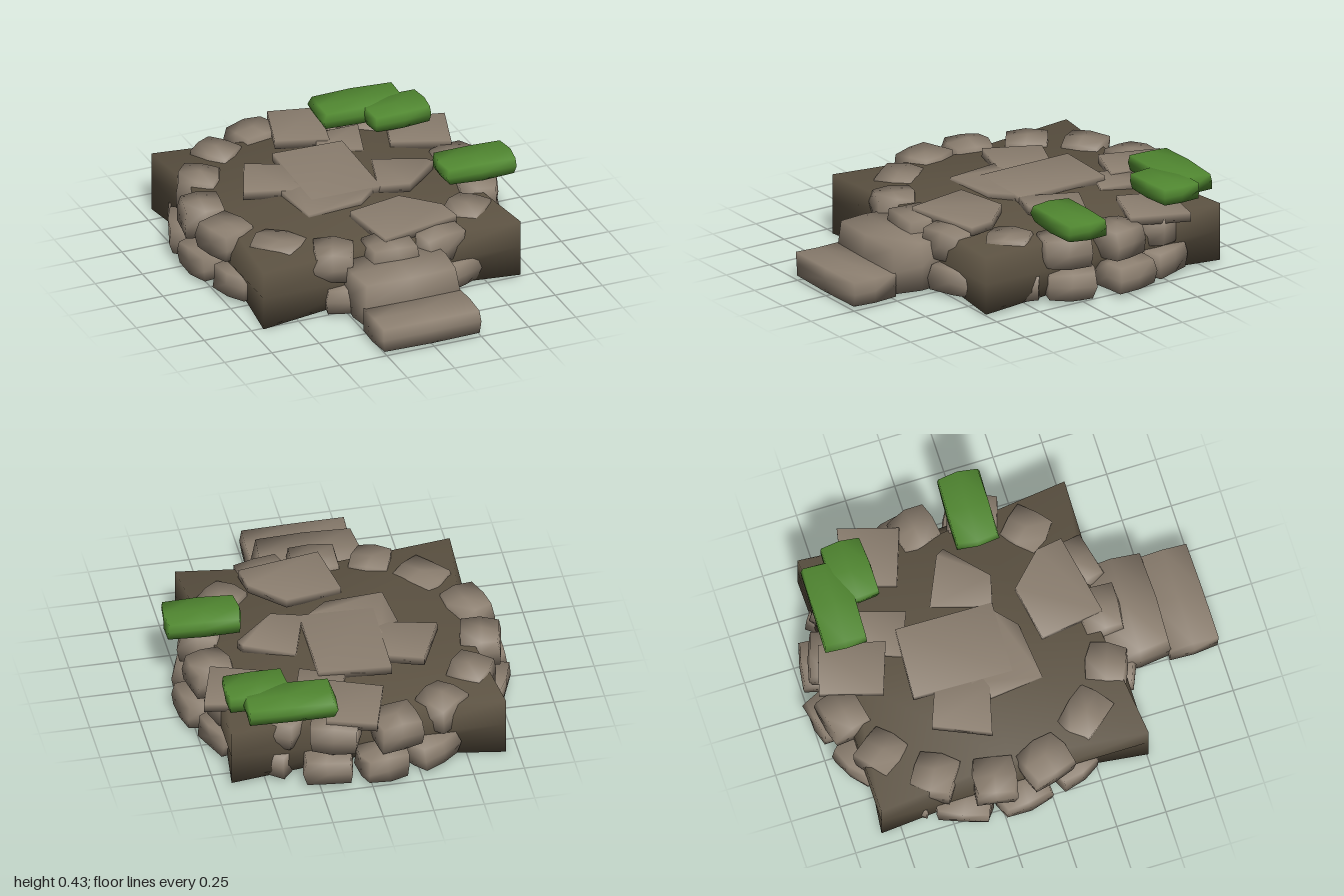
import * as THREE from 'three';
import { mergeVertices } from 'three/addons/utils/BufferGeometryUtils.js';

const material = (name, color) => {
  const m = new THREE.MeshStandardMaterial({ color });
  m.name = name;
  return m;
};

// Seeded random numbers in -1..1
function seeded(seed) {
  return () => {
    seed = (seed * 16807) % 2147483647;
    return (seed / 2147483647) * 2 - 1;
  };
}

// Weld all corners so the shading runs softly over the edges
function smooth(geometry) {
  geometry.deleteAttribute('normal');
  geometry.deleteAttribute('uv');
  const g = mergeVertices(geometry);
  g.computeVertexNormals();
  return g;
}

// Rough block: edges drawn in by `round`, every vertex shifted by `jitter`
function rockGeometry(w, h, d, round, jitter, rand) {
  const g = smooth(new THREE.BoxGeometry(1, 1, 1, 2, 2, 2));
  const p = g.attributes.position;
  for (let i = 0; i < p.count; i++) {
    const v = [p.getX(i), p.getY(i), p.getZ(i)];
    const sides = v.filter((c) => Math.abs(c) > 0.4).length;
    const k = 1 - round * (sides - 1);
    p.setXYZ(i,
      (v[0] * k + rand() * jitter) * w,
      (v[1] * k + rand() * jitter) * h,
      (v[2] * k + rand() * jitter) * d);
  }
  g.computeVertexNormals();
  return g;
}

// Earth block: low corners, and the middles of the top and bottom edges drawn in
function coreGeometry() {
  const g = smooth(new THREE.BoxGeometry(2, 2, 2, 2, 2, 2));
  const p = g.attributes.position;
  for (let i = 0; i < p.count; i++) {
    const x = p.getX(i), y = p.getY(i), z = p.getZ(i);
    const reach = Math.abs(x) + Math.abs(z); // 0 centre, 1 edge middle, 2 corner
    const inset = y !== 0 && reach === 1 ? 0.89 : 1;
    const top = [0.352, 0.305, 0.318][reach];
    const bottom = [0.025, 0.04, x < 0 ? 0.012 : 0.025][reach];
    p.setXYZ(i, x * 0.68 * inset, y > 0 ? top : y < 0 ? bottom : 0.18, z * 0.68 * inset);
  }
  g.computeVertexNormals();
  return g;
}

export function createModel() {
  const model = new THREE.Group();
  model.name = 'stonePlatform';
  const stone = material('stone', 0x8c7f70);
  const earth = material('earth', 0x5c5242);
  const moss = material('moss', 0x518831);
  const rand = seeded(4217);

  const add = (name, geometry, mat, x = 0, y = 0, z = 0, yaw = 0) => {
    const mesh = new THREE.Mesh(geometry, mat);
    mesh.name = name;
    mesh.position.set(x, y, z);
    mesh.rotation.y = yaw;
    model.add(mesh);
    return mesh;
  };

  add('earthCore', coreGeometry(), earth, -0.01, 0, -0.17);

  // Two courses of rough stones around the core
  const courses = [
    { name: 'lowerStone', count: 16, y: 0.099, h: 0.14, w: 0.26, r: 0.71 },
    { name: 'upperStone', count: 15, y: 0.26, h: 0.162, w: 0.23, r: 0.675 },
  ];
  for (const c of courses) {
    for (let i = 0; i < c.count; i++) {
      const a = THREE.MathUtils.degToRad(-5 + (i * 360) / c.count + rand() * 1.2);
      const r = c.r + rand() * 0.012;
      const g = rockGeometry(c.w + rand() * 0.025, c.h, 0.21, 0.07, 0.04, rand);
      add(c.name, g, stone, Math.cos(a) * r, c.y, -0.2 + Math.sin(a) * r,
        Math.PI / 2 - a + rand() * 0.12);
    }
  }

  // Front steps
  add('upperStep', rockGeometry(0.52, 0.25, 0.34, 0.045, 0.015, rand), stone, -0.01, 0.155, 0.6);
  add('lowerStep', rockGeometry(0.52, 0.125, 0.25, 0.012, 0.012, rand), stone, -0.01, 0.093, 0.875);

  // Flat paving stones, each an outline in x, z with a top height and tilt
  const paving = [
    { top: 0.366, tilt: [0.01, 0.02], pts: [[-0.19, -0.53], [0.17, -0.51], [0.165, -0.02], [-0.2, -0.03]] },
    { top: 0.358, tilt: [0.02, 0.02], pts: [[-0.3, -0.2], [-0.2, -0.24], [0.13, -0.03], [0.02, 0.07], [-0.27, 0.1]] },
    { top: 0.362, tilt: [-0.03, 0.01], pts: [[-0.48, -0.22], [-0.36, -0.49], [-0.18, -0.42], [0.01, -0.25], [-0.25, -0.16]] },
    { top: 0.36, tilt: [0.01, -0.04], pts: [[0.15, -0.02], [0.24, -0.31], [0.48, -0.2], [0.5, -0.16], [0.3, 0.02]] },
    { top: 0.362, tilt: [0.01, 0.02], pts: [[-0.08, 0.16], [0.2, 0.11], [0.36, 0.27], [0.38, 0.4], [-0.03, 0.48]] },
    { top: 0.36, tilt: [0.02, -0.01], pts: [[-0.03, -0.96], [0.21, -0.89], [0.13, -0.57], [-0.12, -0.66]] },
    { top: 0.352, tilt: [0.03, 0.03], pts: [[0.1, -0.67], [0.32, -0.66], [0.25, -0.43], [0.04, -0.52]] },
    { top: 0.352, tilt: [-0.02, -0.02], pts: [[0.47, -0.68], [0.76, -0.62], [0.67, -0.33], [0.39, -0.43]] },
  ];
  for (const { top, tilt, pts } of paving) {
    const cx = pts.reduce((s, p) => s + p[0], 0) / pts.length;
    const cz = pts.reduce((s, p) => s + p[1], 0) / pts.length;
    const shape = new THREE.Shape(pts.map(([x, z]) => new THREE.Vector2(x - cx, cz - z)));
    const g = new THREE.ExtrudeGeometry(shape, { depth: 0.045, bevelEnabled: false });
    g.rotateX(-Math.PI / 2);
    const slab = add('pavingStone', smooth(g), stone, cx, top - 0.045, cz);
    slab.rotation.set(tilt[1], 0, tilt[0]);
  }

  // Moss cushions: width, depth, x, z, yaw
  const cushions = [
    [0.45, 0.22, 0.365, -0.76, -0.02],
    [0.32, 0.21, 0.505, -0.635, 0.03],
    [0.38, 0.22, 0.645, 0.01, -0.03],
  ];
  for (const [w, d, x, z, yaw] of cushions) {
    add('mossCushion', rockGeometry(w, 0.088, d, 0.045, 0.02, rand), moss, x, 0.402, z, yaw);
  }

  return model;
}
